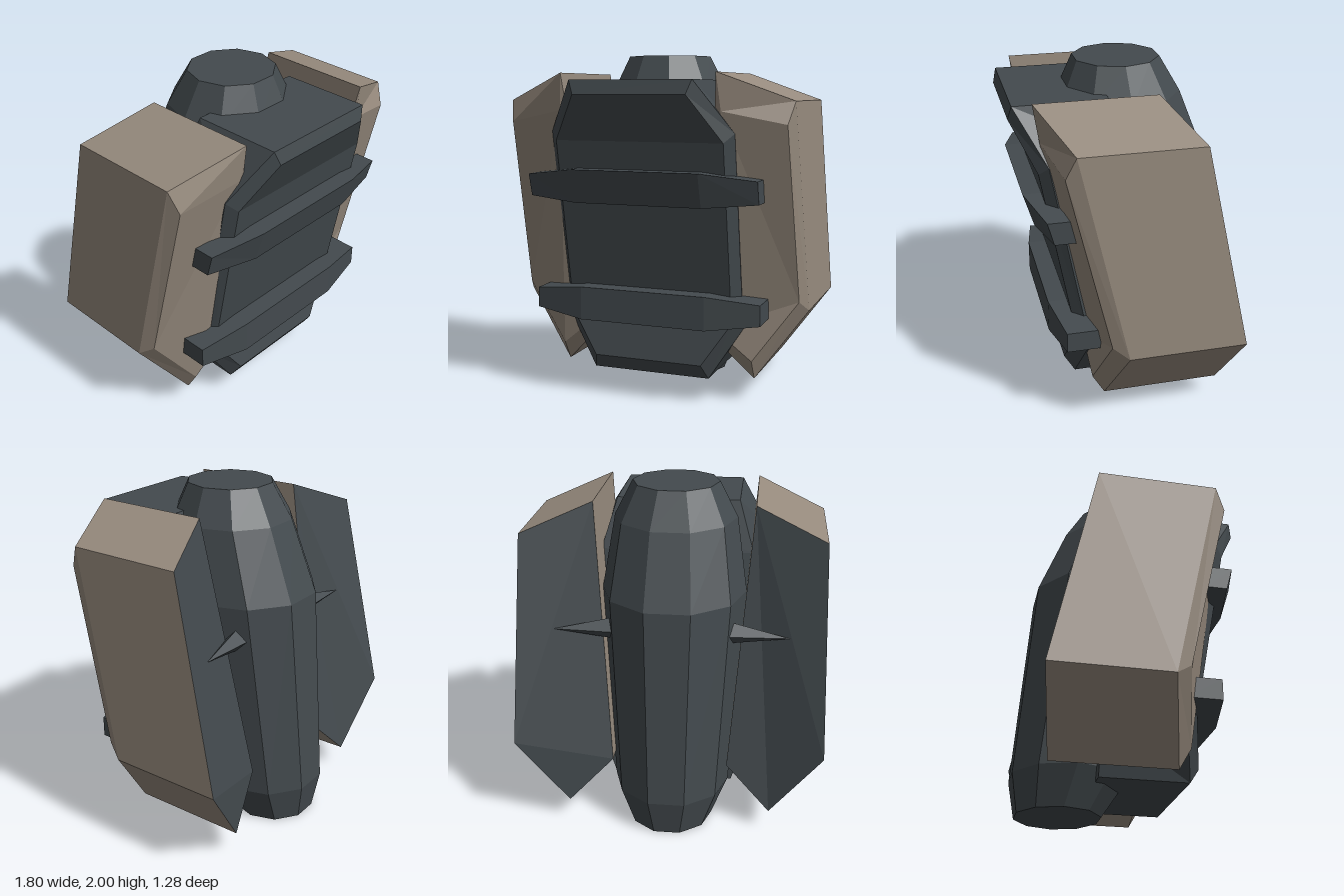
import * as THREE from 'three';

const dark = new THREE.MeshStandardMaterial({ color: 0x434a4e });
dark.name = 'charcoal';
const tan = new THREE.MeshStandardMaterial({ color: 0x978b7e });
tan.name = 'tan';

// Faceted loft through rings of [x, y, z] points; rings run counter-clockwise
// when seen from the end they advance towards. Group 1 is the starting cap.
function loft(name, rings, material, startMaterial = material) {
  const pos = [];
  const tri = (a, b, c) => pos.push(...a, ...b, ...c);
  const cap = (r, flip) => {
    const out = (a, b, c) => (flip ? tri(a, c, b) : tri(a, b, c));
    for (let i = 0, k = r.length - 1; i + 1 < k; i++, k--) {
      out(r[i], r[i + 1], r[k]);
      if (i + 1 < k - 1) out(r[i + 1], r[k - 1], r[k]);
    }
  };
  for (let i = 0; i + 1 < rings.length; i++) {
    const lo = rings[i], hi = rings[i + 1], n = lo.length;
    for (let j = 0; j < n; j++) {
      const k = (j + 1) % n;
      tri(lo[j], lo[k], hi[k]);
      tri(lo[j], hi[k], hi[j]);
    }
  }
  cap(rings[rings.length - 1], false);
  const split = pos.length / 3;
  cap(rings[0], true);
  const g = new THREE.BufferGeometry();
  g.setAttribute('position', new THREE.Float32BufferAttribute(pos, 3));
  g.addGroup(0, split, 0);
  g.addGroup(split, pos.length / 3 - split, 1);
  g.computeVertexNormals();
  const mesh = new THREE.Mesh(g, [material, startMaterial]);
  mesh.name = name;
  return mesh;
}

// Ten-sided ring for the leaning tank
function tankRing([y, z, r]) {
  return Array.from({ length: 10 }, (_, i) => {
    const a = (i * Math.PI) / 5;
    return [r * Math.cos(a), y, z - r * Math.sin(a)];
  });
}

// Symmetric eight-sided outline from four right-hand points, bottom to top
function octagon(half) {
  return [...half, ...half.map(([x, y, z]) => [-x, y, z]).reverse()];
}

// Crossbar whose ends are slimmer and swept back; sections are [z, y] corners
function crossbar(name, middle, end) {
  const at = (x, s) => s.map(([z, y]) => [x, y, z]);
  return loft(name, [at(-0.69, end), at(-0.38, middle), at(0.38, middle), at(0.69, end)], dark);
}

const mirrored = (rings) => rings.map((r) => r.map(([x, y, z]) => [-x, y, z]).reverse());

export function createModel() {
  const model = new THREE.Group();
  model.name = 'backpack';

  // Rear tank
  const tank = [[0, -0.365, 0.25], [0.22, -0.31, 0.345], [1.39, -0.14, 0.42],
    [1.8, -0.04, 0.355], [2, -0.025, 0.25]];
  model.add(loft('tank', tank.map(tankRing), dark));

  // Front body: back outline, rim, then bevelled front face
  model.add(loft('frontBody', [
    octagon([[0.36, 0.14, -0.2], [0.45, 0.44, -0.2], [0.45, 1.57, 0.0], [0.36, 1.86, 0.09]]),
    octagon([[0.36, 0.14, 0.31], [0.55, 0.44, 0.25], [0.55, 1.57, 0.46], [0.36, 1.86, 0.62]]),
    octagon([[0.33, 0.23, 0.37], [0.5, 0.48, 0.32], [0.5, 1.52, 0.51], [0.33, 1.78, 0.64]]),
  ], dark));

  // Two crossbars
  model.add(crossbar('upperCrossbar',
    [[0.525, 1.165], [0.38, 1.165], [0.41, 1.36], [0.585, 1.36]],
    [[0.465, 1.19], [0.345, 1.19], [0.36, 1.32], [0.5, 1.32]]));
  model.add(crossbar('lowerCrossbar',
    [[0.465, 0.465], [0.25, 0.465], [0.25, 0.66], [0.465, 0.66]],
    [[0.41, 0.505], [0.21, 0.505], [0.21, 0.625], [0.41, 0.625]]));

  // Side pods: dark back, rim, bevelled front
  const pod = [
    [[0.6, 0.13, -0.51], [0.9, 0.545, -0.575], [0.86, 1.745, -0.31], [0.46, 1.9, -0.16], [0.34, 0.39, -0.44]],
    [[0.6, 0.13, 0.18], [0.9, 0.545, 0.1], [0.86, 1.745, 0.37], [0.46, 1.9, 0.525], [0.34, 0.39, 0.24]],
    [[0.6, 0.25, 0.25], [0.86, 0.61, 0.19], [0.83, 1.62, 0.425], [0.48, 1.69, 0.495], [0.38, 0.43, 0.27]],
  ];
  model.add(loft('leftPod', pod, tan, dark), loft('rightPod', mirrored(pod), tan, dark));

  // Pointed braces between tank and pods
  for (const side of [1, -1]) {
    const brace = new THREE.Mesh(new THREE.ConeGeometry(0.08, 0.42, 4).toNonIndexed(), dark);
    brace.geometry.computeVertexNormals();
    brace.name = side > 0 ? 'leftBrace' : 'rightBrace';
    brace.position.set(side * 0.47, 1.2, -0.34);
    brace.rotation.set(0, side * 0.14, -side * Math.PI / 2);
    model.add(brace);
  }
  return model;
}
